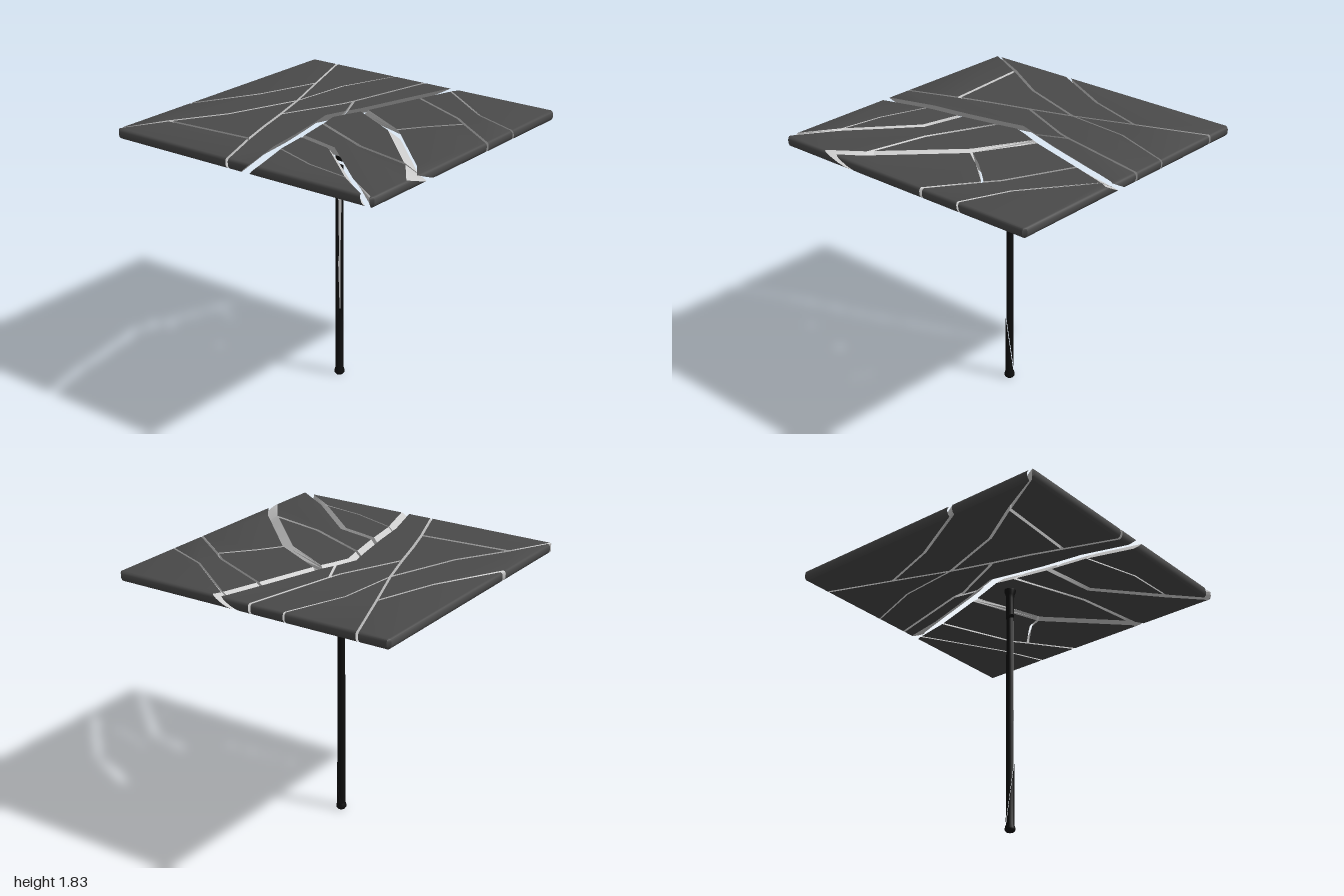
import * as THREE from 'three';
import { toCreasedNormals } from 'three/addons/utils/BufferGeometryUtils.js';

const dark = new THREE.MeshStandardMaterial({ color: 0x4a4a4a });
const black = new THREE.MeshStandardMaterial({ color: 0x0e0e0e });
const pale = new THREE.MeshStandardMaterial({ color: 0xcccccc });
const paleThin = new THREE.MeshStandardMaterial({ color: 0xcccccc, side: THREE.DoubleSide });

// Crack junctions: x, z, half gap, then the shift of the crack at the underside (dx, dz)
const nodes = {
  tl1: [-1, -.98, 0], tl2: [-.98, -1, .012], tr1: [.98, -1, 0], tr2: [1, -.98, 0],
  br1: [1, .98, 0], br2: [.98, 1, 0], bl1: [-.98, 1, 0], bl2: [-1, .98, 0],
  J7: [-.69, -.84, .012, .03, .03], A2: [-.35, -.635, .01, .01, .02], J1: [.14, -.46, .009],
  A3: [.58, -.42, .006, 0, .008], A9: [1, -.27, .006],
  B0: [-.33, -1, .01], B1: [.11, -.75, .01], J2: [.53, -.61, .008], C9: [1, -.78, .01],
  J3: [-.15, -.365, .01], C1: [-.4, -.29, .01], J4: [-.64, -.21, .012, .02, 0], C0: [-1, -.08, .009],
  D1: [.27, -.18, .009], J5: [.36, -.155, .009, 0, -.02], D9: [1, -.02, .009],
  G0: [-1, .13, .03, 0, -.08], Gh: [-.66, .035, .03, 0, -.08], Gi: [-.4, -.005, .03, .02, -.08],
  Gj: [-.12, -.06, .03, 0, -.08], G1: [.01, -.09, .03, 0, -.08], J6: [.13, -.05, .03, 0, -.08],
  Gk: [.25, 0, .03, .03, -.08], Gm: [.69, .13, .03, 0, -.09], Gn: [.95, .21, .03, 0, -.12],
  G9: [1, .23, .03, 0, -.13],
  H1: [-.78, .38, .006], J8: [-.83, .71, .02, .04, .04], I1: [-.47, .3, .02, .04, .03],
  I9: [-1, .94, .02, 0, .02],
  Jm: [-.34, .42, .011, .025, .01], J9: [-.44, .87, .033, .06, .06],
  J10: [.03, .4, .033, .07, .05], K9: [-.6, 1, .033, .2, 0],
  L1: [.2, .52, .009, .02, -.02], J11: [.4, .69, .009], M1: [.47, .6, .009], M9: [.19, 1, .009],
  N1: [.61, .67, .007, .012, 0], N9: [.48, 1, .007, .015, 0],
};
const pieces = [
  'tl1 tl2 J7 J4 C0', 'J7 A2 J1 J3 C1 J4', 'tl2 B0 B1 J2 J1 A2 J7', 'B0 tr1 tr2 C9 J2 B1',
  'J2 C9 A9 A3 J1', 'J1 A3 A9 D9 J5 D1 J3', 'C0 J4 C1 J3 D1 J5 J6 G1 Gj Gi Gh G0',
  'J5 D9 G9 Gn Gm Gk J6', 'G0 Gh H1 J8 I9', 'Gh Gi I1 J8 H1',
  'Gi Gj Jm J9 K9 bl1 bl2 I9 J8 I1', 'Gj G1 J6 Gk J10 J9 Jm', 'Gk Gm M1 J11 L1 J10',
  'J10 L1 J11 M9 K9 J9', 'Gm Gn N1 N9 M9 J11 M1', 'Gn G9 br1 br2 N9 N1',
];
// Rounded rim: fraction of the depth, inset
const rim = [[0, .016], [.08, .006], [.25, 0], [.6, 0], [.85, .008], [1, .022]];
const TOP = 1.83, BOTTOM = 1.76;

const onRim = n => Math.max(Math.abs(nodes[n][0]), Math.abs(nodes[n][1])) > .975;

// Pull every edge of a loop back by its half gap and intersect neighbours
function insetLoop(names, k) {
  const pts = names.map(n => {
    const [x, z, , dx = 0, dz = 0] = nodes[n];
    return new THREE.Vector2(x + dx * k, z + dz * k);
  });
  const edges = pts.map((p, i) => {
    const j = (i + 1) % pts.length, d = pts[j].clone().sub(p).normalize();
    const outer = onRim(names[i]) && onRim(names[j]);
    return { x: -d.y, z: d.x, w: outer ? 0 : Math.min(nodes[names[i]][2], nodes[names[j]][2]) };
  });
  return pts.map((p, i) => {
    const a = edges.at(i - 1), b = edges[i], det = a.x * b.z - a.z * b.x;
    if (Math.abs(det) < .15) {
      return new THREE.Vector2(p.x + (a.x * a.w + b.x * b.w) / 2, p.y + (a.z * a.w + b.z * b.w) / 2);
    }
    return new THREE.Vector2(p.x + (a.w * b.z - b.w * a.z) / det, p.y + (a.x * b.w - b.x * a.w) / det);
  });
}

function meshFrom(points, material, name) {
  const g = new THREE.BufferGeometry().setFromPoints(points);
  const mesh = new THREE.Mesh(toCreasedNormals(g, .6), material);
  mesh.name = name;
  return mesh;
}

function slabPiece(loop) {
  const names = loop.split(' ');
  const flat = names.map(n => new THREE.Vector2(nodes[n][0], nodes[n][1]));
  if (THREE.ShapeUtils.area(flat) < 0) names.reverse();
  const top = insetLoop(names, 0), bottom = insetLoop(names, 1), count = names.length;
  const levels = rim.map(([t, inset]) => top.map((p, i) => {
    const q = p.clone().lerp(bottom[i], t).clampScalar(inset - 1, 1 - inset);
    return new THREE.Vector3(q.x, TOP + (BOTTOM - TOP) * t, q.y);
  }));
  const skin = [], walls = [];
  // Top and underside
  for (const [level, flip] of [[levels[0], true], [levels.at(-1), false]]) {
    const contour = level.map(p => new THREE.Vector2(p.x, p.z));
    for (const [a, b, c] of THREE.ShapeUtils.triangulateShape(contour, [])) {
      skin.push(...(flip ? [c, b, a] : [a, b, c]).map(i => level[i]));
    }
  }
  // Rim and crack walls
  for (let i = 0; i < count; i++) {
    const j = (i + 1) % count, out = onRim(names[i]) && onRim(names[j]) ? skin : walls;
    for (let l = 0; l + 1 < levels.length; l++) {
      const u = levels[l], v = levels[l + 1];
      out.push(u[i], u[j], v[j], u[i], v[j], v[i]);
    }
  }
  const group = new THREE.Group();
  group.name = 'tabletopPiece';
  group.add(meshFrom(skin, dark, 'tabletopSkin'), meshFrom(walls, pale, 'crackWalls'));
  return group;
}

const SQ = Math.SQRT1_2;
// Turned post section; shape(v, d) edits vertices, d = distance toward the front right
function postPiece(name, profile, shape) {
  const g = new THREE.LatheGeometry(profile.map(([r, y]) => new THREE.Vector2(r, y)), 16);
  const p = g.attributes.position, v = new THREE.Vector3();
  for (let i = 0; i < p.count; i++) {
    v.fromBufferAttribute(p, i);
    shape(v, (v.z - v.x) * SQ);
    p.setXYZ(i, v.x, v.y, v.z);
  }
  g.deleteAttribute('normal');
  g.deleteAttribute('uv');
  const mesh = new THREE.Mesh(toCreasedNormals(g, .7), black);
  mesh.name = name;
  return mesh;
}

export function createModel() {
  const model = new THREE.Group();
  model.name = 'crackedTable';

  const tabletop = new THREE.Group();
  tabletop.name = 'tabletop';
  pieces.forEach(loop => tabletop.add(slabPiece(loop)));
  model.add(tabletop);

  const post = new THREE.Group();
  post.name = 'post';
  // Upper section, cut obliquely below and flared under the top
  post.add(postPiece('upperPost',
    [[0, 1.55], [.027, 1.55], [.027, 1.69], [.03, 1.72], [.04, 1.748], [.04, 1.765], [0, 1.765]],
    v => { if (v.y < 1.6) v.y -= .6 * v.x; }));
  // Long section, split away along the front right
  post.add(postPiece('middlePost',
    [[0, .29], [.028, .29], [.027, .75], [.026, 1.1], [.026, 1.525], [0, 1.525]],
    (v, d) => {
      if (d > .02) { v.x += (d - .02) * SQ; v.z -= (d - .02) * SQ; d = .02; }
      if (v.y < .3) v.y += 8 * d;
      if (v.y > 1.5) v.y -= .6 * v.x;
    }));
  // Foot section, cut steeply above
  post.add(postPiece('lowerPost',
    [[0, .005], [.026, 0], [.035, .012], [.035, .024], [.029, .045], [.029, .25], [0, .25]],
    (v, d) => { if (v.y > .2) v.y += 8 * d; }));
  // Pale broken face of the split
  const face = new THREE.Shape([[-.014, 1.52], [-.006, .9], [-.012, .84], [-.002, .5],
    [.004, .5], [.004, .9], [.014, 1.5]].map(([x, y]) => new THREE.Vector2(x, y)));
  const split = new THREE.Mesh(new THREE.ShapeGeometry(face), paleThin);
  split.name = 'splitFace';
  split.rotation.y = -Math.PI / 4;
  split.position.set(-.0205 * SQ, 0, .0205 * SQ);
  post.add(split);
  model.add(post);
  return model;
}
